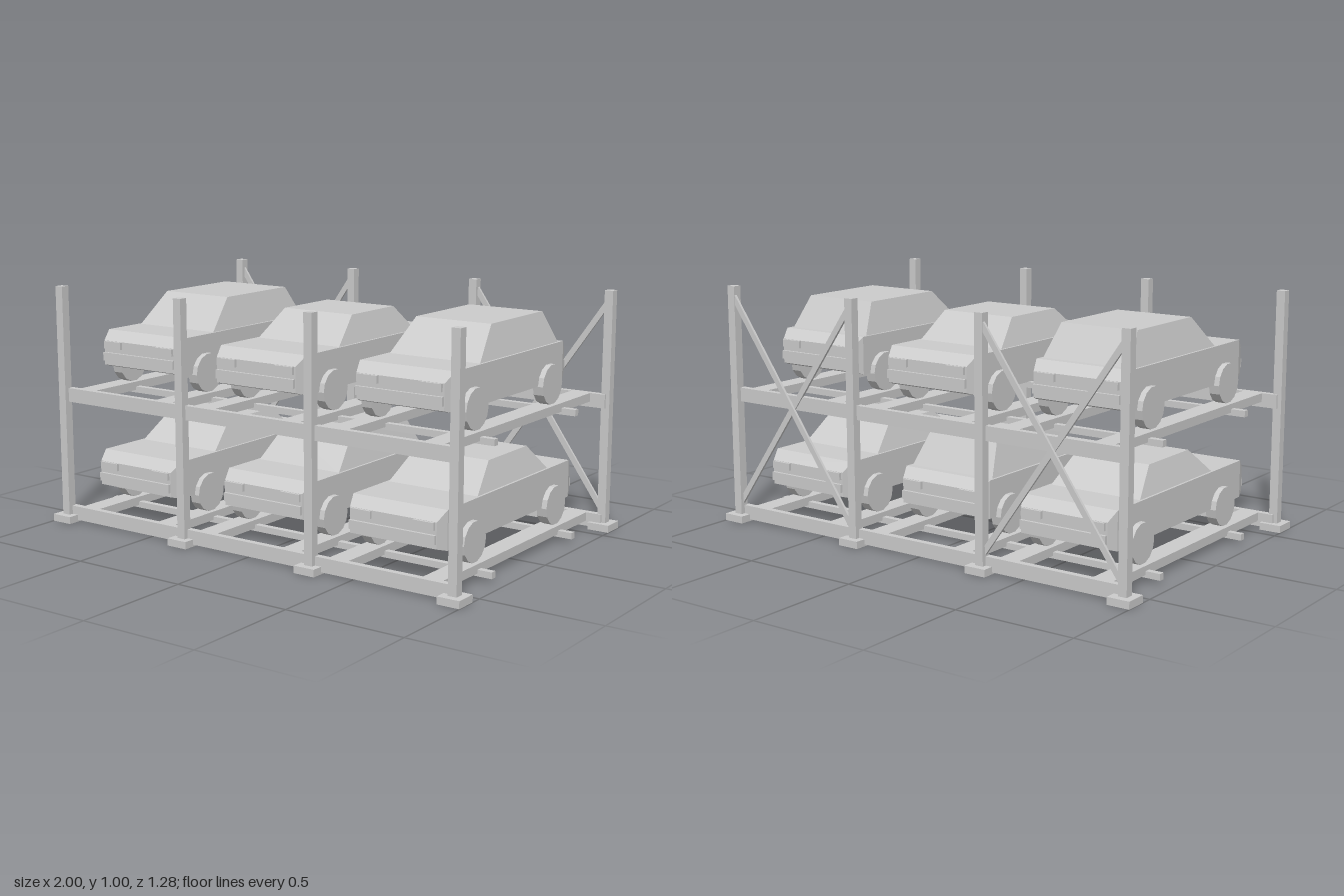
import * as THREE from 'three';
import { ConvexGeometry } from 'three/addons/geometries/ConvexGeometry.js';

const material = new THREE.MeshStandardMaterial({ color: 0xcccccc, flatShading: true });

function add(parent, name, geometry, x = 0, y = 0, z = 0) {
  const mesh = new THREE.Mesh(geometry, material);
  mesh.name = name;
  mesh.position.set(x, y, z);
  parent.add(mesh);
  return mesh;
}

const box = (parent, name, w, h, d, x, y, z) =>
  add(parent, name, new THREE.BoxGeometry(w, h, d), x, y, z);

// Convex solid through rectangular sections [z, half width, bottom, top]
function hull(sections) {
  const points = [];
  for (const [z, w, y0, y1] of sections)
    for (const x of [-w, w])
      for (const y of [y0, y1]) points.push(new THREE.Vector3(x, y, z));
  return new ConvexGeometry(points);
}

// Solid between a base rectangle and a smaller roof rectangle
function cabinGeometry(base, roof) {
  const points = [];
  for (const { y, w, front, back } of [base, roof])
    for (const x of [-w, w])
      for (const z of [front, back]) points.push(new THREE.Vector3(x, y, z));
  return new ConvexGeometry(points);
}

const SEDAN = {
  name: 'sedan', front: 0.522, back: -0.52, rearAxle: -0.331,
  roofY: 0.345, cabinBack: -0.307, roofBack: -0.189,
};
const HATCHBACK = {
  name: 'hatchback', front: 0.482, back: -0.439, rearAxle: -0.274,
  roofY: 0.365, cabinBack: -0.367, roofBack: -0.291,
};

function createCar(type) {
  const car = new THREE.Group();
  car.name = type.name;
  const { front, back } = type;

  // Lower body with chamfered nose and tail
  add(car, 'body', hull([
    [front, 0.192, 0.095, 0.197],
    [front - 0.048, 0.209, 0.081, 0.236],
    [back + 0.043, 0.209, 0.081, 0.236],
    [back, 0.192, 0.095, 0.197],
  ]));

  // Cabin
  add(car, 'cabin', cabinGeometry(
    { y: 0.234, w: 0.2, front: 0.247, back: type.cabinBack },
    { y: type.roofY, w: 0.167, front: 0.11, back: type.roofBack },
  ));

  // Bumpers and lamps at both ends
  for (const [end, z] of [['front', front], ['rear', back]]) {
    box(car, end + 'Bumper', 0.38, 0.035, 0.024, 0, 0.131, z);
    for (const side of [-1, 1])
      box(car, end + 'Lamp', 0.091, 0.03, 0.024, side * 0.139, 0.181, z);
  }

  // Wheels
  const tyre = new THREE.CylinderGeometry(0.081, 0.081, 0.045, 14).rotateZ(Math.PI / 2);
  for (const z of [0.312, type.rearAxle])
    for (const side of [-1, 1]) add(car, 'wheel', tyre, side * 0.209, 0.08, z);
  return car;
}

export function createModel() {
  const model = new THREE.Group();
  model.name = 'carParkingRack';

  const postX = [-0.953, -0.316, 0.316, 0.953];
  const bayX = [-0.637, 0, 0.637];
  const deckY = [0.066, 0.573];

  // Posts on foot plates
  for (const x of postX)
    for (const z of [-0.595, 0.595]) {
      box(model, 'post', 0.037, 1, 0.037, x, 0.5, z);
      box(model, 'footPlate', 0.094, 0.03, 0.094, x, 0.015, z);
    }

  deckY.forEach((top, level) => {
    const deck = new THREE.Group();
    deck.name = level ? 'upperDeck' : 'lowerDeck';
    deck.position.y = top;
    model.add(deck);

    // Long front and back beams
    for (const z of [-0.581, 0.581])
      box(deck, 'edgeBeam', 1.91, 0.058, 0.027, 0, -0.029, z);

    // Square bars under the runways
    for (const z of [-0.329, 0.312])
      box(deck, 'crossBar', 1.9, 0.026, 0.026, 0, -0.034, z);

    bayX.forEach((x, bay) => {
      // Pair of wheel runways
      for (const side of [-1, 1])
        box(deck, 'runway', 0.086, 0.036, 1.15, x + side * 0.208, -0.018, 0);
      // Parked car, types alternating
      const car = createCar((bay + level) % 2 ? HATCHBACK : SEDAN);
      car.position.x = x;
      deck.add(car);
    });
  });

  // Crossed braces at the back of the outer bays
  const dx = 0.62, dy = 0.88;
  for (const x of [bayX[0], bayX[2]])
    for (const side of [-1, 1]) {
      const brace = box(model, 'brace', 0.024, Math.hypot(dx, dy), 0.011, x, 0.52, -0.6 + side * 0.005);
      brace.rotation.z = side * Math.atan2(dx, dy);
    }
  return model;
}
